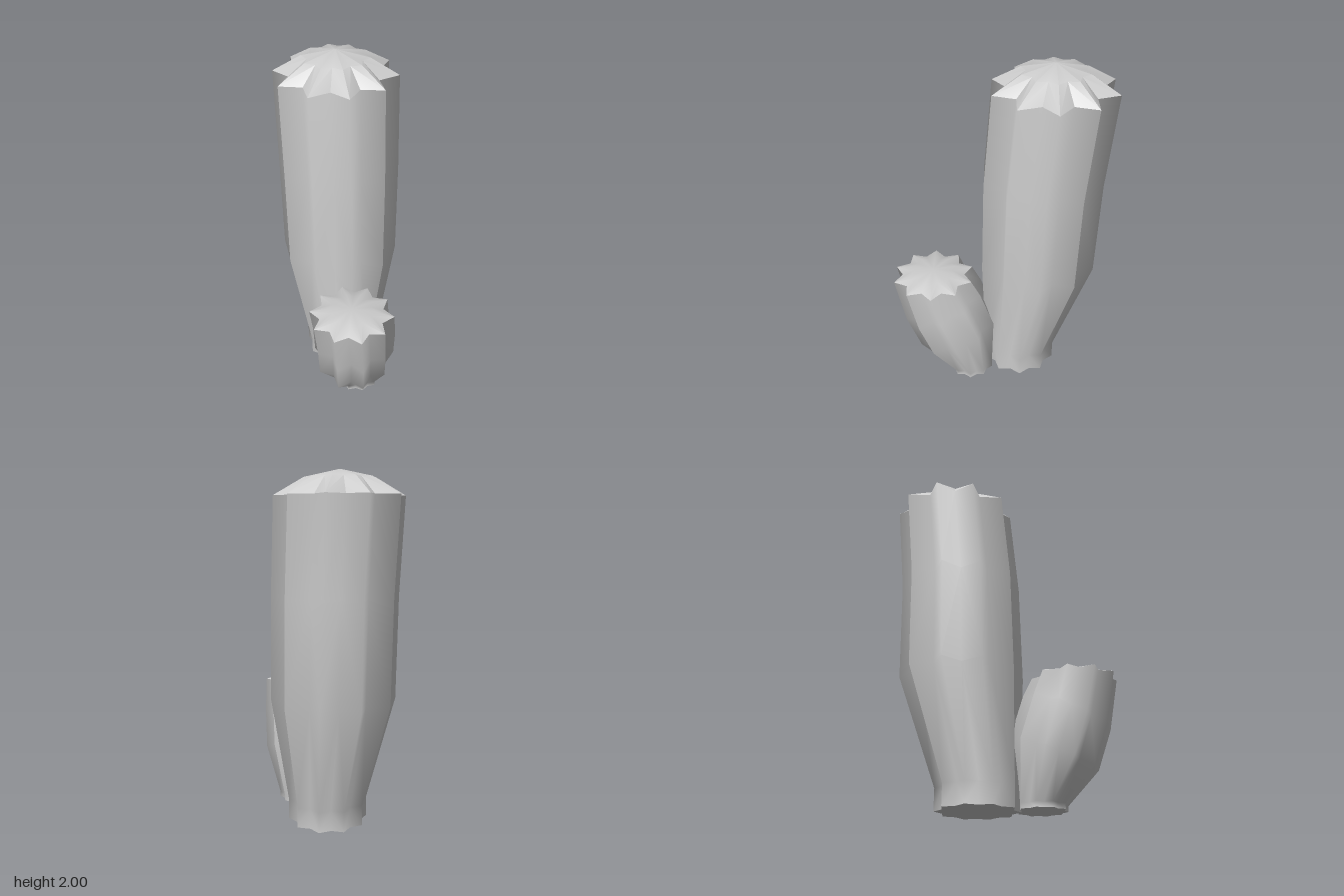
import * as THREE from 'three';
import { toCreasedNormals } from 'three/addons/utils/BufferGeometryUtils.js';

const RIBS = 10;
const N = RIBS * 2;

// Star-shaped ring: tips at even steps, valleys at odd steps.
// sx and sz tilt the ring: rise in y per unit of x and z.
function starRing({ c, tip, valley, sx = 0, sz = 0 }) {
  const pts = [];
  for (let i = 0; i < N; i++) {
    const a = (i / N) * Math.PI * 2;
    const r = i % 2 ? valley : tip;
    const x = Math.sin(a) * r, z = Math.cos(a) * r;
    pts.push([c[0] + x, c[1] + x * sx + z * sz, c[2] + z]);
  }
  return pts;
}

// Skin the rings from bottom to top, optionally closing with an apex point.
function loft(rings, apex) {
  const pos = rings.flatMap(starRing).flat();
  const index = [];
  for (let k = 0; k < rings.length - 1; k++) {
    for (let i = 0; i < N; i++) {
      const j = (i + 1) % N;
      const a = k * N + i, b = k * N + j, c = a + N, d = b + N;
      // the diagonal always leaves from the tip side
      if (i % 2) index.push(a, b, c, b, d, c);
      else index.push(a, b, d, a, d, c);
    }
  }
  if (apex) {
    const top = pos.length / 3, start = (rings.length - 1) * N;
    pos.push(...apex);
    for (let i = 0; i < N; i++) index.push(start + i, start + (i + 1) % N, top);
  }
  const g = new THREE.BufferGeometry();
  g.setAttribute('position', new THREE.Float32BufferAttribute(pos, 3));
  g.setIndex(index);
  g.computeVertexNormals();
  return g;
}

// Flat underside
function baseDisc(ring) {
  const pos = [...starRing(ring).flat(), ...ring.c];
  const index = [];
  for (let i = 0; i < N; i++) index.push((i + 1) % N, i, N);
  const g = new THREE.BufferGeometry();
  g.setAttribute('position', new THREE.Float32BufferAttribute(pos, 3));
  g.setIndex(index);
  g.computeVertexNormals();
  return g;
}

function cactusStem(name, rings, shoulder, apex, material) {
  const group = new THREE.Group();
  group.name = name;
  const add = (part, geometry) => {
    const mesh = new THREE.Mesh(geometry, material);
    mesh.name = part;
    group.add(mesh);
  };
  add('ribbedBody', loft(rings));
  add('domedTop', toCreasedNormals(loft([rings[rings.length - 1], shoulder], apex), 0.5));
  add('base', baseDisc(rings[0]));
  return group;
}

export function createModel() {
  const material = new THREE.MeshStandardMaterial({ color: 0xcccccc });
  const model = new THREE.Group();
  model.name = 'cactus';

  // Tall stem leaning backwards
  model.add(cactusStem('tallStem', [
    { c: [-0.01, 0, -0.125], tip: 0.23, valley: 0.195 },
    { c: [-0.01, 0.12, -0.125], tip: 0.23, valley: 0.195 },
    { c: [0, 0.75, -0.228], tip: 0.351, valley: 0.257 },
    { c: [0, 1.33, -0.245], tip: 0.351, valley: 0.257 },
    { c: [0, 1.865, -0.296], tip: 0.351, valley: 0.257 },
  ], { c: [0, 1.958, -0.296], tip: 0.19, valley: 0.157 }, [0, 2, -0.296], material));

  // Short stem leaning forwards, its middle rings tilted across its axis
  model.add(cactusStem('shortStem', [
    { c: [0.015, 0.01, 0.215], tip: 0.143, valley: 0.122 },
    { c: [0.015, 0.04, 0.215], tip: 0.143, valley: 0.122 },
    { c: [-0.025, 0.31, 0.285], tip: 0.24, valley: 0.19, sx: 0.15, sz: -0.36 },
    { c: [-0.045, 0.54, 0.36], tip: 0.24, valley: 0.185, sx: 0.1, sz: -0.4 },
    { c: [-0.07, 0.73, 0.408], tip: 0.241, valley: 0.185 },
  ], { c: [-0.07, 0.76, 0.408], tip: 0.135, valley: 0.113 }, [-0.07, 0.77, 0.408], material));

  return model;
}
